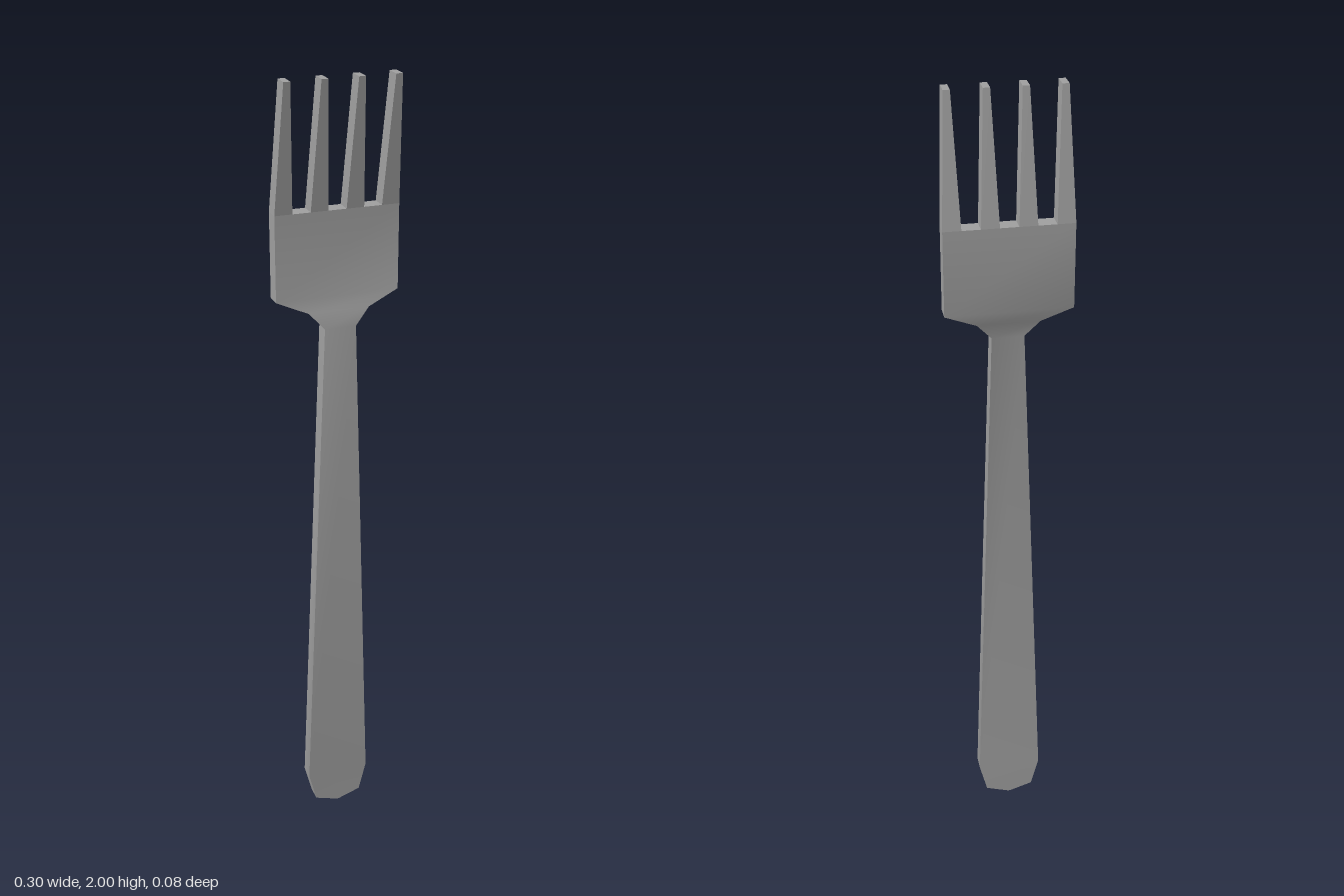
import * as THREE from 'three';
import { toCreasedNormals } from 'three/addons/utils/BufferGeometryUtils.js';

const THICKNESS = 0.04;

// Slab lofted upward through rows of [y, left x, right x, front z]
function loft(rows) {
  const positions = [];
  const index = [];
  for (const [y, x0, x1, z] of rows) {
    const back = z - THICKNESS;
    positions.push(x0, y, z, x1, y, z, x1, y, back, x0, y, back);
  }
  for (let i = 0; i < rows.length - 1; i++) {
    for (let j = 0; j < 4; j++) {
      const a = i * 4 + j;
      const b = i * 4 + ((j + 1) % 4);
      index.push(a, b, b + 4, a, b + 4, a + 4);
    }
  }
  // End caps
  const t = (rows.length - 1) * 4;
  index.push(0, 2, 1, 0, 3, 2, t, t + 1, t + 2, t, t + 2, t + 3);
  const geometry = new THREE.BufferGeometry();
  geometry.setAttribute('position', new THREE.Float32BufferAttribute(positions, 3));
  geometry.setIndex(index);
  return toCreasedNormals(geometry, 0.5);
}

export function createModel() {
  const fork = new THREE.Group();
  fork.name = 'fork';
  const steel = new THREE.MeshStandardMaterial({ color: 0xa0a0a0 });
  steel.name = 'steel grey';

  const add = (name, rows) => {
    const mesh = new THREE.Mesh(loft(rows), steel);
    mesh.name = name;
    fork.add(mesh);
  };

  // Handle, neck and head in one piece: [y, half width, front z]
  const body = [
    [0, 0.003, 0],
    [0.02, 0.063, 0],
    [0.1, 0.083, 0],
    [1.415, 0.039, 0.02],
    [1.455, 0.075, 0.01],
    [1.488, 0.152, 0],
    [1.695, 0.152, 0],
  ];
  add('handleAndHead', body.map(([y, w, z]) => [y, -w, w, z]));

  // Four tapering tines leaning forward
  for (let i = 0; i < 4; i++) {
    const x = (i - 1.5) * 0.087;
    add(`tine${i + 1}`, [
      [1.695, x - 0.0215, x + 0.0215, 0],
      [2, x - 0.008, x + 0.008, 0.04],
    ]);
  }
  return fork;
}
